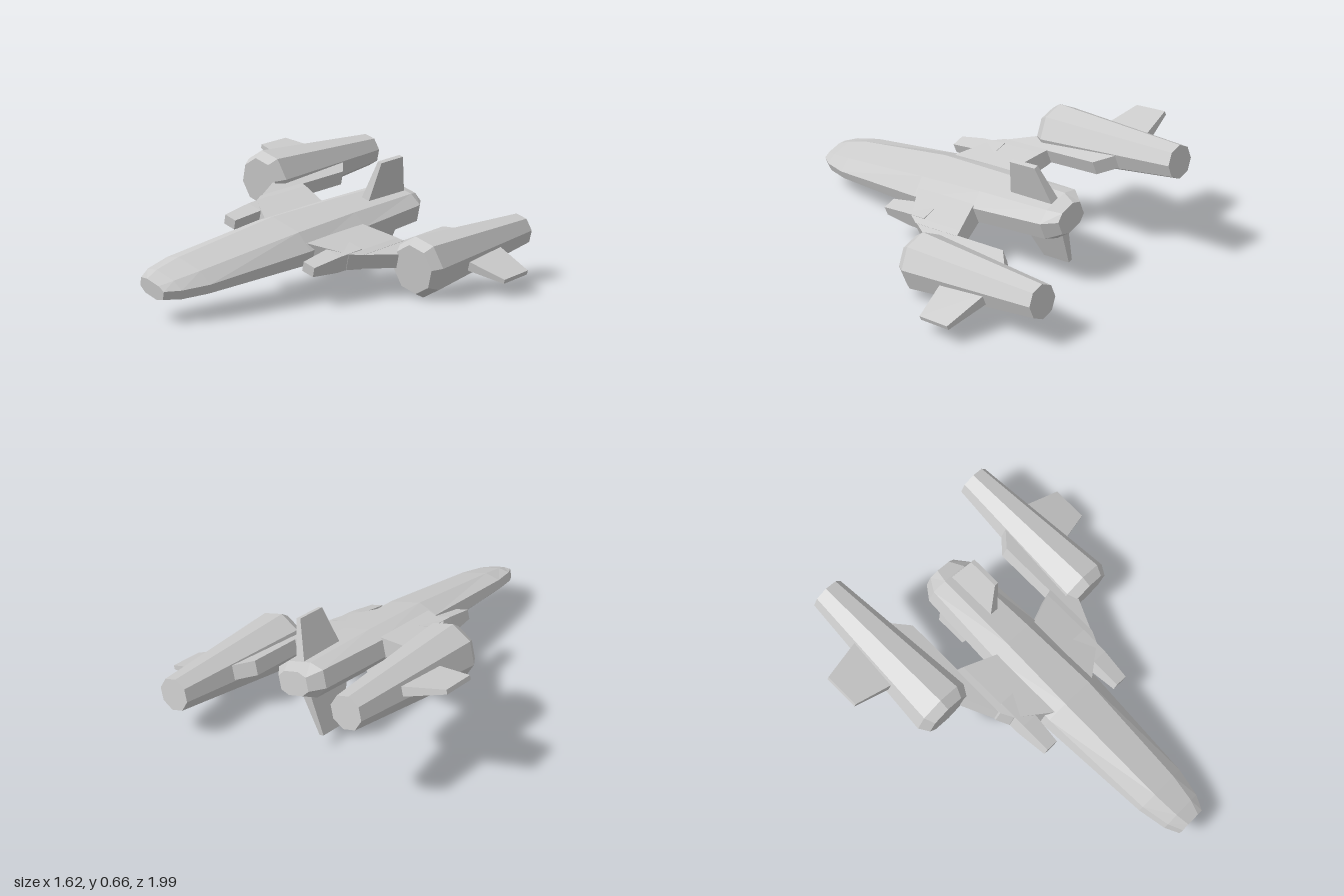
import * as THREE from 'three';

const material = new THREE.MeshStandardMaterial({ color: 0xcccccc, flatShading: true });

// Closed faceted solid through a series of rings, each a list of [x, y, z]
function loft(name, rings) {
  const n = rings[0].length;
  const tris = [];
  for (let i = 0; i < rings.length - 1; i++) {
    const p = rings[i], q = rings[i + 1];
    for (let j = 0; j < n; j++) {
      const k = (j + 1) % n;
      tris.push([p[j], p[k], q[k]], [p[j], q[k], q[j]]);
    }
  }
  const first = rings[0], last = rings[rings.length - 1];
  for (let j = 1; j < n - 1; j++) {
    tris.push([first[0], first[j + 1], first[j]], [last[0], last[j], last[j + 1]]);
  }
  // Turn every face outward
  const vec = (p) => new THREE.Vector3(...p);
  const volume = tris.reduce((v, [a, b, c]) => v + vec(a).sub(vec(first[0]))
    .dot(vec(b).sub(vec(first[0])).cross(vec(c).sub(vec(first[0])))), 0);
  if (volume < 0) tris.forEach((t) => t.reverse());
  const geometry = new THREE.BufferGeometry();
  geometry.setAttribute('position', new THREE.Float32BufferAttribute(tris.flat(2), 3));
  geometry.computeVertexNormals();
  const mesh = new THREE.Mesh(geometry, material);
  mesh.name = name;
  return mesh;
}

// Eight-sided hull section: half width, top, upper side, lower side, bottom
function hullRing([z, w, top, upper, lower, bottom]) {
  const t = w * 0.5;
  return [[t, top], [w, upper], [w, lower], [t, bottom], [-t, bottom], [-w, lower], [-w, upper], [-t, top]]
    .map(([x, y]) => [x, y, z]);
}

// Flat-topped octagon around an engine axis
function octagon(x, z, r) {
  return Array.from({ length: 8 }, (_, i) => {
    const a = (i + 0.5) * Math.PI / 4;
    return [x + r * Math.cos(a), r * Math.sin(a), z];
  });
}

// Slab section at a given span x: chord z0..z1 and half thickness h
const chord = (x, z0, z1, h, y = 0) => [[x, y - h, z0], [x, y + h, z0], [x, y + h, z1], [x, y - h, z1]];

// The same section stood upright, for vertical fins
const uprightChord = (y, z0, z1, h) => [[-h, y, z0], [h, y, z0], [h, y, z1], [-h, y, z1]];

export function createModel() {
  const ship = new THREE.Group();
  ship.name = 'spacecraft';

  // Hull, from tail to nose
  ship.add(loft('fuselage', [
    [0.262, 0.083, 0.055, 0.03, -0.04, -0.065],
    [0.33, 0.136, 0.078, 0.045, -0.045, -0.095],
    [0.76, 0.157, 0.086, 0.04, -0.045, -0.1],
    [1.16, 0.18, 0.085, 0.025, -0.045, -0.098],
    [1.76, 0.147, 0.04, 0.005, -0.04, -0.075],
    [1.9, 0.115, 0.022, 0, -0.045, -0.072],
    [1.97, 0.077, 0.005, -0.005, -0.045, -0.065],
  ].map(hullRing)));

  // Tail fins
  ship.add(loft('dorsalFin', [uprightChord(0.05, 0.33, 0.61, 0.026), uprightChord(0.272, 0.38, 0.54, 0.012)]));
  ship.add(loft('ventralFin', [uprightChord(-0.07, 0.33, 0.61, 0.026), uprightChord(-0.312, 0.38, 0.545, 0.012)]));

  for (const [s, side] of [[1, 'left'], [-1, 'right']]) {
    // Wing and the swept pylon carrying the engine
    ship.add(loft(side + 'Wing', [
      chord(s * 0.1, 0.775, 1.18, 0.052),
      chord(s * 0.315, 0.7, 1.04, 0.042),
      chord(s * 0.35, 0.69, 0.98, 0.038),
    ]));
    ship.add(loft(side + 'Pylon', [
      chord(s * 0.345, 0.39, 0.98, 0.037),
      chord(s * 0.46, 0.275, 0.76, 0.037),
    ]));

    // Forward pod on the wing's leading edge
    const podRing = (z, w, h) => [[-w, -h], [w, -h], [w, h], [-w, h]].map(([x, y]) => [s * 0.268 + x, y, z]);
    ship.add(loft(side + 'Pod', [podRing(0.95, 0.046, 0.046), podRing(1.1, 0.044, 0.042), podRing(1.257, 0.035, 0.024)]));

    // Engine and its outer fin
    const x = s * 0.527;
    ship.add(loft(side + 'Engine', [octagon(x, 0, 0.085), octagon(x, 0.765, 0.149), octagon(x, 0.815, 0.119)]));
    ship.add(loft(side + 'EngineFin', [
      chord(s * 0.6, 0.27, 0.55, 0.026),
      chord(s * 0.838, 0.32, 0.5, 0.011, -0.004),
    ]));
  }

  // Banked, turned flight attitude
  const forward = new THREE.Vector3(-0.514, -0.118, 0.849).normalize();
  const up = forward.clone().cross(new THREE.Vector3(0.83, -0.318, 0.455)).normalize();
  const left = up.clone().cross(forward);
  ship.quaternion.setFromRotationMatrix(new THREE.Matrix4().makeBasis(left, up, forward));
  ship.position.set(0.2725, 0.4075, -0.715);

  const model = new THREE.Group();
  model.name = 'model';
  model.add(ship);
  return model;
}
